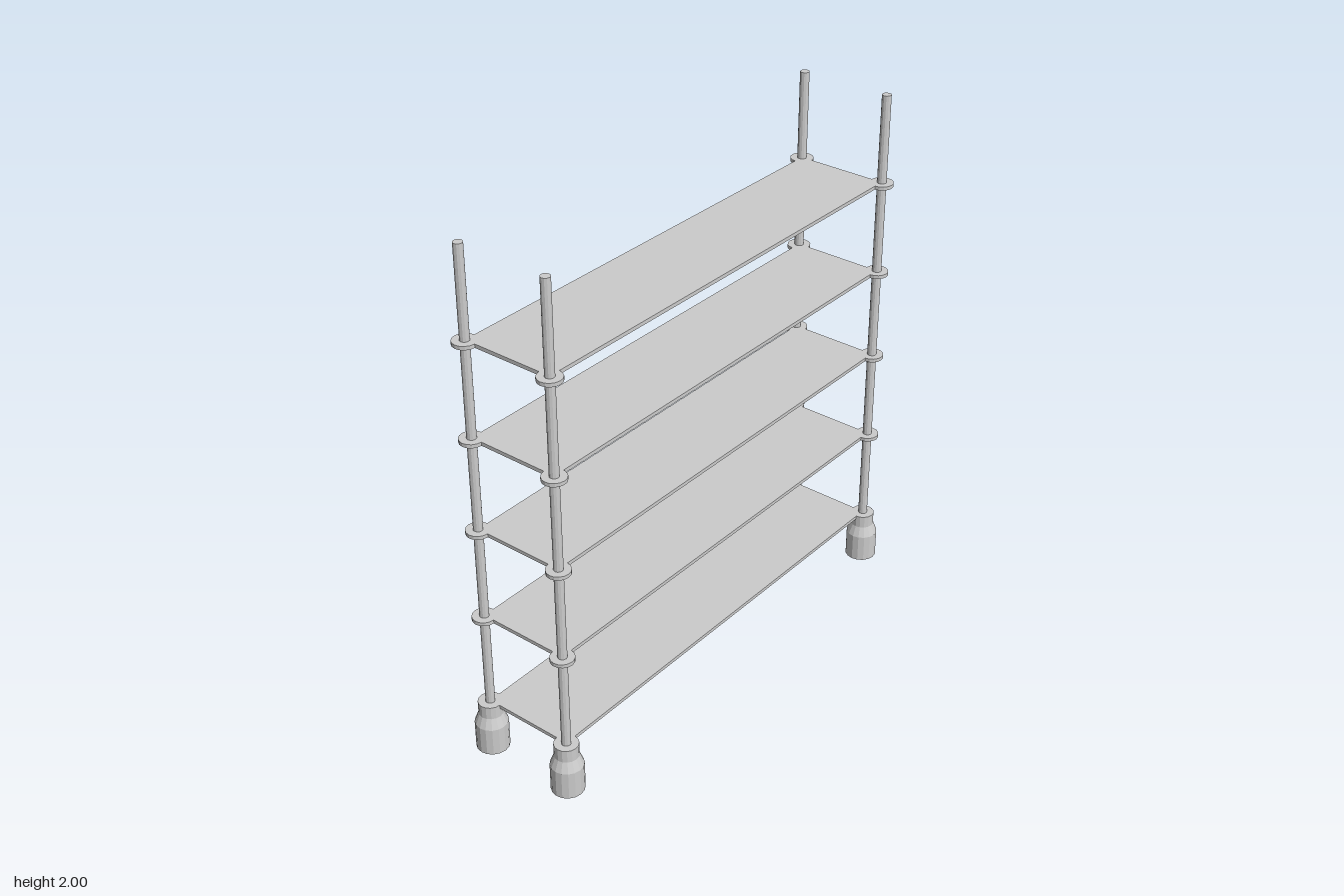
import * as THREE from 'three';

const POST_X = 0.9;
const POST_Z = 0.18;
const SHELF_Y = [0.193, 0.57, 0.93, 1.29, 1.652];
const THICK = 0.014;

export function createModel() {
  const model = new THREE.Group();
  model.name = 'shelvingUnit';
  const material = new THREE.MeshStandardMaterial({ color: 0xcccccc, flatShading: true });

  const add = (parent, name, geometry, x, y, z) => {
    const mesh = new THREE.Mesh(geometry, material);
    mesh.name = name;
    mesh.position.set(x, y, z);
    parent.add(mesh);
  };

  // Shared geometries
  const shelf = new THREE.BoxGeometry(2 * POST_X, THICK, 2 * POST_Z);
  const collar = new THREE.CylinderGeometry(0.044, 0.044, THICK, 16);
  const post = new THREE.CylinderGeometry(0.0175, 0.0175, 1.8, 12);
  // Bottle-shaped foot: wide base, tapered shoulder, narrow neck
  const foot = new THREE.LatheGeometry([
    [0, 0], [0.061, 0], [0.061, 0.11], [0.045, 0.15], [0.045, 0.2], [0, 0.2],
  ].map(([r, y]) => new THREE.Vector2(r, y)), 16);

  // Shelf boards
  for (const y of SHELF_Y) add(model, 'shelf', shelf, 0, y, 0);

  // Corner supports
  for (const sx of [-1, 1]) {
    for (const sz of [-1, 1]) {
      const support = new THREE.Group();
      support.name = (sz > 0 ? 'front' : 'back') + (sx > 0 ? 'Left' : 'Right') + 'Support';
      support.position.set(sx * POST_X, 0, sz * POST_Z);
      add(support, 'foot', foot, 0, 0, 0);
      add(support, 'post', post, 0, 1.1, 0);
      // Collars carry every shelf above the foot
      for (const y of SHELF_Y.slice(1)) add(support, 'collar', collar, 0, y, 0);
      model.add(support);
    }
  }
  return model;
}
